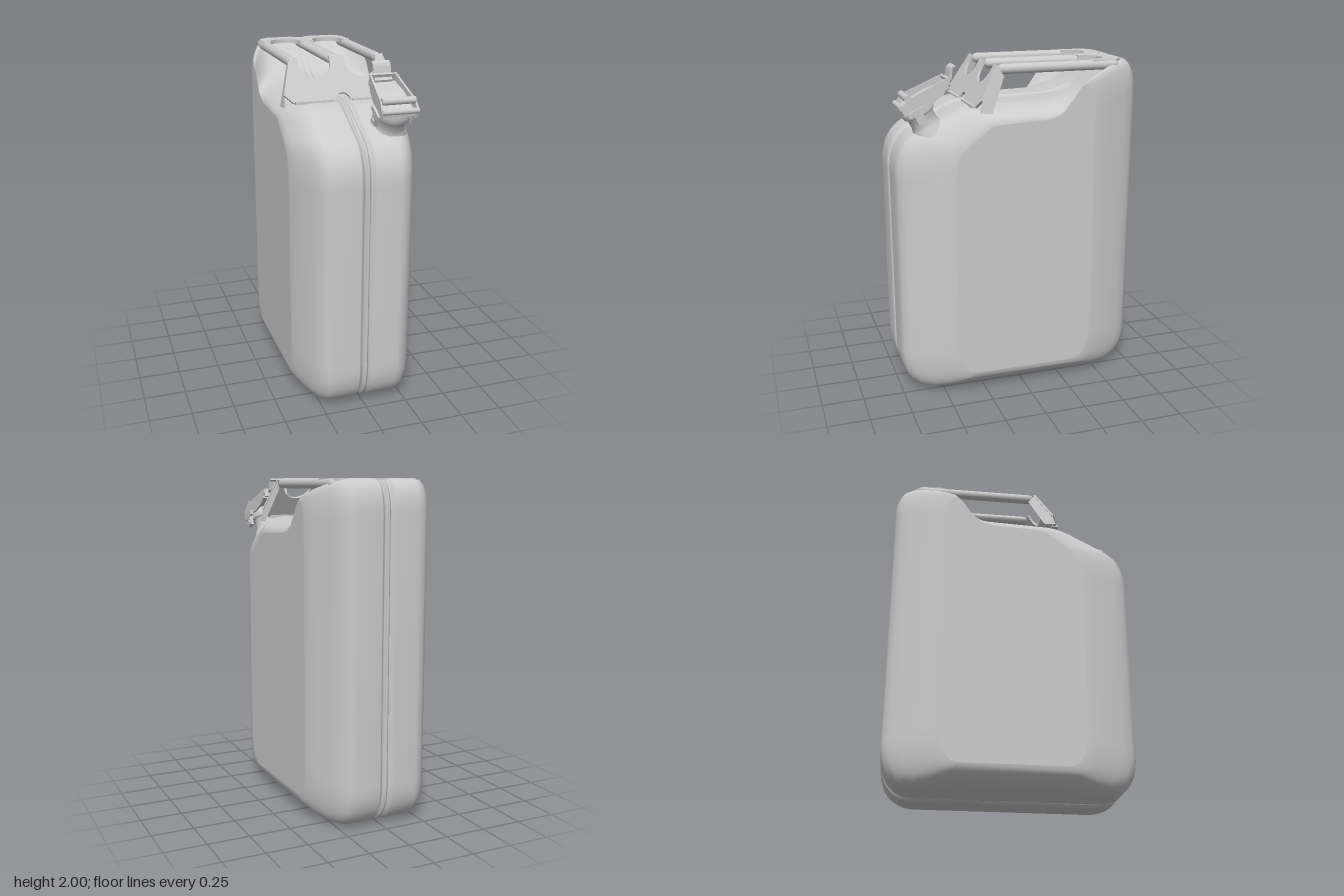
import * as THREE from 'three';

const grey = new THREE.MeshStandardMaterial({ color: 0xcccccc, side: THREE.DoubleSide });

function add(parent, name, geometry, x = 0, y = 0, z = 0) {
  const mesh = new THREE.Mesh(geometry, grey);
  mesh.name = name;
  mesh.position.set(x, y, z);
  parent.add(mesh);
  return mesh;
}

// Side outline of the can as (z, y), counter-clockwise
function canOutline() {
  const p = new THREE.Path();
  p.moveTo(0.54, 0);
  p.bezierCurveTo(0.66, 0, 0.745, 0.08, 0.745, 0.26);
  p.lineTo(0.745, 1.36);
  p.bezierCurveTo(0.745, 1.5, 0.7, 1.58, 0.62, 1.62);
  p.lineTo(0.42, 1.72);
  p.bezierCurveTo(0.34, 1.76, 0.32, 1.76, 0.25, 1.762);
  p.lineTo(-0.2, 1.775);
  p.bezierCurveTo(-0.4, 1.79, -0.42, 1.83, -0.5, 1.9);
  p.bezierCurveTo(-0.56, 1.955, -0.59, 1.995, -0.64, 1.995);
  p.bezierCurveTo(-0.71, 1.995, -0.745, 1.92, -0.745, 1.8);
  p.lineTo(-0.745, 0.26);
  p.bezierCurveTo(-0.745, 0.08, -0.66, 0, -0.54, 0);
  p.lineTo(0.54, 0);
  const pts = p.getPoints(12);
  pts.pop();
  return pts;
}

// Can body: the outline swept across x, shrunk by (z, y) insets at the seam and shoulders
function addBody(parent) {
  const outline = canOutline();
  const half = [
    [0, 0.006, 0.006], [0.008, 0.008, 0.008], [0.012, 0.026, 0.022], [0.022, 0.026, 0.022],
    [0.032, 0.008, 0.007], [0.045, 0, 0], [0.19, 0, 0], [0.23, 0.012, 0.006], [0.265, 0.045, 0.018],
    [0.295, 0.1, 0.034], [0.325, 0.175, 0.055], [0.35, 0.24, 0.08], [0.365, 0.29, 0.1], [0.37, 0.32, 0.125],
  ];
  const rings = [...half.slice(1).reverse().map(([x, a, b]) => [-x, a, b]), ...half];
  const shrink = (p, iz, iy) => [p.x * (1 - iz / 0.745), 1 + (p.y - 1) * (1 - iy)];
  const pos = [], idx = [], n = outline.length;
  rings.forEach(([x, iz, iy], i) => outline.forEach((p, j) => {
    const [z, y] = shrink(p, iz, iy);
    pos.push(x, y, z);
    if (i === rings.length - 1) return;
    const a = i * n + j, d = i * n + (j + 1) % n;
    idx.push(a, a + n, d + n, a, d + n, d);
  }));
  const g = new THREE.BufferGeometry();
  g.setAttribute('position', new THREE.Float32BufferAttribute(pos, 3));
  g.setIndex(idx);
  g.computeVertexNormals();
  add(parent, 'canBody', g);

  // Flat side panels
  const [xe, iz, iy] = half[half.length - 1];
  for (const s of [-1, 1]) {
    const pts = outline.map((p) => {
      const [z, y] = shrink(p, iz, iy);
      return new THREE.Vector2(-s * z, y);
    });
    const panel = new THREE.ShapeGeometry(new THREE.Shape(pts)).rotateY(s * Math.PI / 2);
    add(parent, s > 0 ? 'leftPanel' : 'rightPanel', panel, s * xe);
  }
}

// Sheet with two U cut-outs at its top and a round notch at its bottom
function combSheet(halfTop, halfBottom, top, uBottom, thickness) {
  const r = 0.095, c = 0.14, n = 0.045, cut = 0.05, yc = uBottom + r;
  const s = new THREE.Shape();
  s.moveTo(n, 0);
  s.lineTo(halfBottom - cut, 0);
  s.lineTo(halfBottom, cut);
  s.lineTo(halfTop, top);
  for (const k of [1, -1]) {
    s.lineTo(k * c + r, top);
    s.lineTo(k * c + r, yc);
    s.absarc(k * c, yc, r, 0, Math.PI, true);
    s.lineTo(k * c - r, top);
  }
  s.lineTo(-halfTop, top);
  s.lineTo(-halfBottom, cut);
  s.lineTo(cut - halfBottom, 0);
  s.lineTo(-n, 0);
  s.absarc(0, 0, n, Math.PI, 0, true);
  return new THREE.ExtrudeGeometry(s, { depth: thickness, bevelEnabled: false, curveSegments: 14 });
}

function addHandle(parent) {
  const handle = new THREE.Group();
  handle.name = 'carryHandle';
  parent.add(handle);

  // Three grip bars
  for (const [x, sx] of [[-0.263, 0.95], [0, 1.45], [0.263, 0.95]]) {
    const bar = add(handle, 'gripBar', new THREE.CapsuleGeometry(0.03, 0.69, 6, 16).rotateX(Math.PI / 2), x, 1.967, -0.23);
    bar.scale.x = sx;
  }

  // Sloping front plate and rear mounting sheet
  add(handle, 'frontPlate', combSheet(0.285, 0.345, 0.268, 0.137, 0.015), 0, 1.755, 0.275).rotation.x = -0.519;
  add(handle, 'rearSheet', combSheet(0.285, 0.275, 0.2, 0.09, 0.025), 0, 1.996, -0.64).rotation.x = Math.PI / 2;

  // Plate foot lying on the can, and wings folded back at the sides
  for (const s of [-1, 1]) {
    add(handle, 'plateFoot', new THREE.BoxGeometry(0.235, 0.015, 0.04), s * 0.17, 1.762, 0.283);
    const g = new THREE.BufferGeometry();
    g.setAttribute('position', new THREE.Float32BufferAttribute([
      s * 0.285, 1.99, 0.155, s * 0.29, 1.93, 0.11, s * 0.352, 1.73, 0.2, s * 0.347, 1.735, 0.275, s * 0.342, 1.8, 0.257,
    ], 3));
    g.setIndex(s > 0 ? [0, 4, 1, 1, 4, 2, 4, 3, 2] : [0, 1, 4, 1, 2, 4, 4, 2, 3]);
    g.computeVertexNormals();
    add(handle, 'plateWing', g);
  }
}

// Extrude a (z, y) polygon across x, centred
function sideProfile(points, width) {
  const s = new THREE.Shape(points.map(([z, y]) => new THREE.Vector2(z, y)));
  return new THREE.ExtrudeGeometry(s, { depth: width, bevelEnabled: false })
    .translate(0, 0, -width / 2).rotateY(-Math.PI / 2);
}

function addSpout(parent) {
  const spout = new THREE.Group();
  spout.name = 'spout';
  spout.position.set(0.185, 1.655, 0.55);
  spout.rotation.x = 0.46;
  parent.add(spout);
  const rod = (name, r, len, y, z, x = 0) =>
    add(spout, name, new THREE.CylinderGeometry(r, r, len, 14).rotateZ(Math.PI / 2), x, y, z);

  // Neck and collar
  const neck = [[0.105, -0.05], [0.085, 0], [0.078, 0.02], [0.08, 0.075], [0.092, 0.08], [0.097, 0.09], [0.097, 0.12], [0.088, 0.13], [0.088, 0.15], [0, 0.15]];
  add(spout, 'neck', new THREE.LatheGeometry(neck.map(([r, y]) => new THREE.Vector2(r, y)), 28));

  // Lid: tapering cheeks, floor plate and curled thumb lip
  const cheek = [[0.095, 0.13], [0.09, 0.175], [0.03, 0.205], [-0.1, 0.2], [-0.235, 0.195], [-0.225, 0.17], [-0.16, 0.125], [-0.07, 0.115]];
  for (const s of [-1, 1]) {
    add(spout, 'lidCheek', sideProfile(cheek, 0.012), s * 0.096).rotation.y = s * 0.09;
    // Hinge and latch ears
    add(spout, 'latchEar', new THREE.BoxGeometry(0.02, 0.085, 0.05), s * 0.108, 0.09, 0.02);
    add(spout, 'latchArm', new THREE.BoxGeometry(0.014, 0.03, 0.11), s * 0.112, 0.12, 0.02);
    rod('latchPin', 0.016, 0.03, 0.07, 0.02, s * 0.112);
  }
  add(spout, 'lidFloor', sideProfile([[0.095, 0.145], [0.09, 0.165], [-0.1, 0.17], [-0.21, 0.155], [-0.21, 0.14]], 0.17));
  add(spout, 'lidBack', new THREE.BoxGeometry(0.155, 0.055, 0.012), 0, 0.17, -0.222);
  add(spout, 'thumbLip', sideProfile([
    [-0.2, 0.17], [-0.24, 0.19], [-0.262, 0.22], [-0.275, 0.232], [-0.3, 0.232],
    [-0.3, 0.223], [-0.28, 0.222], [-0.272, 0.21], [-0.25, 0.175], [-0.2, 0.155],
  ], 0.105));

  // Cross rods at the front of the lid
  rod('lockRod', 0.02, 0.195, 0.205, 0.03);
  rod('hingeRod', 0.016, 0.21, 0.175, 0.085);
}

export function createModel() {
  const model = new THREE.Group();
  model.name = 'fuelCan';
  addBody(model);
  addHandle(model);
  addSpout(model);
  return model;
}
